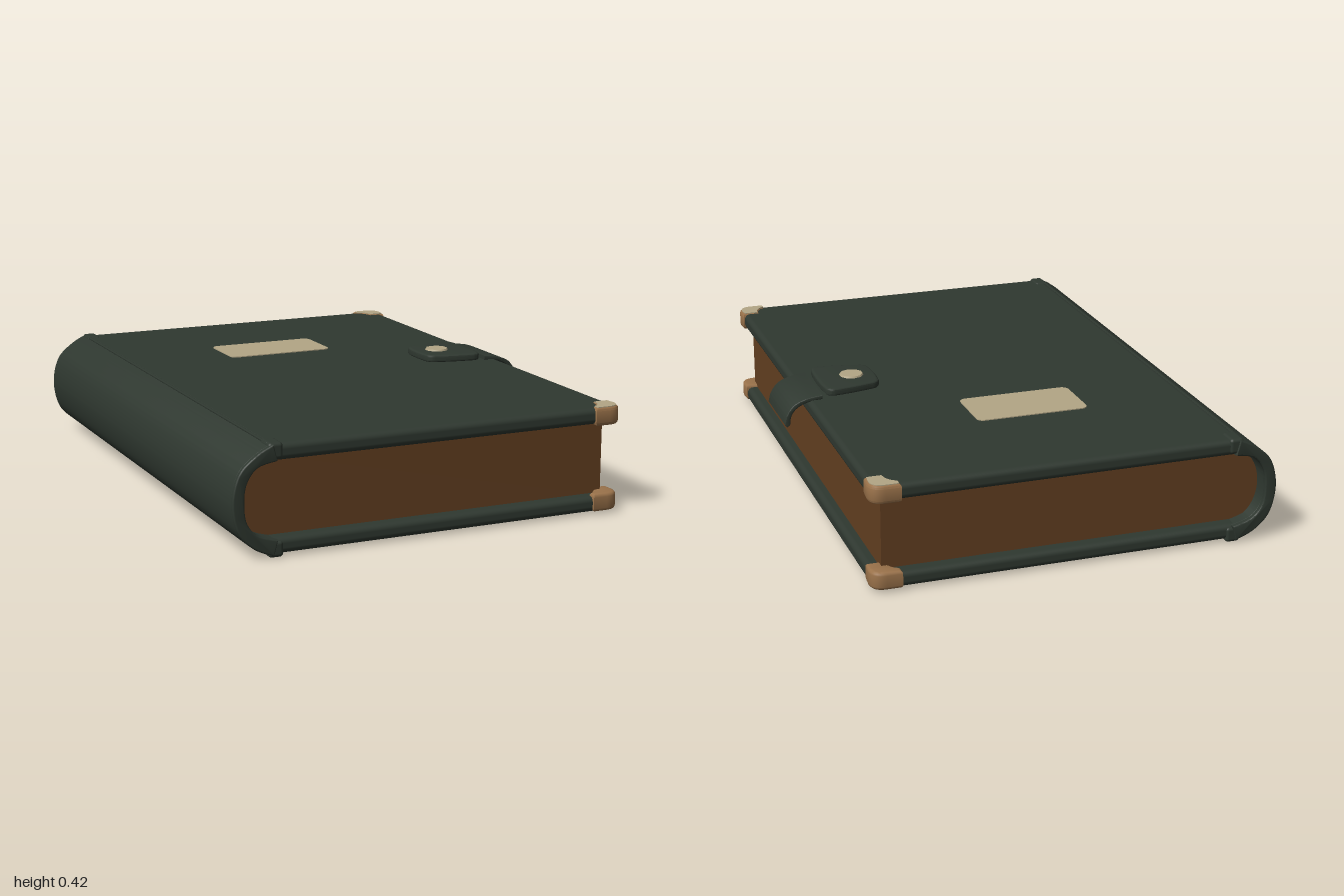
import * as THREE from 'three';
import { toCreasedNormals } from 'three/addons/utils/BufferGeometryUtils.js';
import { RoundedBoxGeometry } from 'three/addons/geometries/RoundedBoxGeometry.js';

const flat = (name, color) => Object.assign(new THREE.MeshStandardMaterial({ color }), { name });

export function createModel() {
  const cover = flat('dark green leather', 0x2f3830);
  const paper = flat('brown pages', 0x633f21);
  const brass = flat('brass', 0x9a724a);
  const cream = flat('cream', 0xb3a686);
  const book = new THREE.Group();
  book.name = 'book';

  const add = (name, geometry, material, x = 0, y = 0, z = 0) => {
    const mesh = new THREE.Mesh(geometry, material);
    mesh.name = name;
    mesh.position.set(x, y, z);
    book.add(mesh);
    return mesh;
  };

  // Extrusion whose total depth and outline include the bevel, centred on z
  const slab = (shape, depth, bevel) => {
    const g = new THREE.ExtrudeGeometry(shape, {
      depth: depth - 2 * bevel, bevelEnabled: bevel > 0, bevelThickness: bevel,
      bevelSize: bevel, bevelOffset: -bevel, bevelSegments: 3, curveSegments: 10,
    });
    g.translate(0, 0, -(depth - 2 * bevel) / 2);
    return toCreasedNormals(g, 0.7);
  };
  // The same, drawn in plan (shape y = -z) and lying flat
  const plan = (shape, height, bevel) => slab(shape, height, bevel).rotateX(-Math.PI / 2);

  const roundedRect = (w, h, r) => {
    const s = new THREE.Shape();
    s.absarc(w / 2 - r, h / 2 - r, r, 0, Math.PI / 2);
    s.absarc(-w / 2 + r, h / 2 - r, r, Math.PI / 2, Math.PI);
    s.absarc(-w / 2 + r, -h / 2 + r, r, Math.PI, Math.PI * 1.5);
    s.absarc(w / 2 - r, -h / 2 + r, r, Math.PI * 1.5, Math.PI * 2);
    return s;
  };
  const points = (list) => list.map(([x, y]) => new THREE.Vector2(x, y));

  // Front and back boards
  add('topCover', new RoundedBoxGeometry(1.32, 0.057, 1.98, 3, 0.02), cover, 0.02, 0.353, 0);
  add('bottomCover', new RoundedBoxGeometry(1.32, 0.055, 1.98, 3, 0.02), cover, 0.02, 0.038, 0);

  // Page block with a rounded back
  const block = new THREE.Shape();
  block.moveTo(0.64, 0.055);
  block.lineTo(0.64, 0.335);
  block.lineTo(-0.62, 0.335);
  block.bezierCurveTo(-0.69, 0.32, -0.725, 0.26, -0.725, 0.195);
  block.bezierCurveTo(-0.725, 0.13, -0.69, 0.07, -0.62, 0.055);
  add('pages', slab(block, 1.88, 0), paper);

  // Curved spine
  const spine = new THREE.Shape();
  spine.moveTo(-0.625, 0.384);
  spine.splineThru(points([[-0.685, 0.352], [-0.745, 0.295], [-0.769, 0.2], [-0.75, 0.1], [-0.695, 0.04], [-0.625, 0.008]]));
  spine.lineTo(-0.61, 0.062);
  spine.splineThru(points([[-0.68, 0.085], [-0.718, 0.13], [-0.727, 0.195], [-0.718, 0.26], [-0.68, 0.31], [-0.61, 0.327]]));
  add('spine', slab(spine, 1.98, 0.008), cover);

  // Hinge ridges and the folded leather at the ends of the spine
  for (const [side, y] of [['top', 0.381], ['bottom', 0.012]]) {
    add(side + 'HingeRidge', new RoundedBoxGeometry(0.012, 0.008, 1.94, 2, 0.003), cover, -0.632, y, 0);
    for (const s of [1, -1]) {
      add(side + 'HingeTab', new RoundedBoxGeometry(0.052, 0.055, 0.08, 3, 0.012), cover,
        -0.615, y === 0.012 ? 0.029 : 0.359, s * 0.955);
    }
  }
  for (const s of [1, -1]) {
    add('spineEndFold', slab(spine, 0.02, 0.006), cover, 0, 0, s * 0.99);
  }

  // Brass corners, wrapping the outer corners of both boards
  const cornerShape = (s, inset = 0) => {
    const p = new THREE.Shape();
    const o = 0.998 - inset, r = 0.688 - inset, l = 0.582 + inset, n = 0.902 + inset;
    p.moveTo(l, -s * o);
    p.lineTo(0.635, -s * o);
    p.quadraticCurveTo(r, -s * o, r, -s * 0.945);
    p.lineTo(r - 0.004, -s * n);
    p.lineTo(0.618 + inset, -s * n);
    p.quadraticCurveTo(0.615 + inset, -s * 0.955, l, -s * (0.965 + inset * 0.5));
    return p;
  };
  for (const s of [1, -1]) {
    add('topCorner', plan(cornerShape(s), 0.066, 0.012), brass, 0, 0.352, 0);
    add('topCornerFace', plan(cornerShape(s, 0.007), 0.004, 0), cream, 0, 0.3845, 0);
    add('bottomCorner', plan(cornerShape(s), 0.064, 0.012), brass, 0, 0.044, 0);
  }

  // Title label
  add('label', plan(roundedRect(0.415, 0.225, 0.025), 0.006, 0), cream, -0.042, 0.382, -0.428);

  // Clasp tab: tapered towards the left, with softened corners
  const tab = new THREE.Shape();
  tab.moveTo(0.43, 0.115);
  tab.quadraticCurveTo(0.5, 0.135, 0.575, 0.142);
  tab.quadraticCurveTo(0.605, 0.142, 0.607, 0.11);
  tab.quadraticCurveTo(0.618, 0.01, 0.607, -0.09);
  tab.quadraticCurveTo(0.605, -0.122, 0.575, -0.122);
  tab.quadraticCurveTo(0.5, -0.115, 0.43, -0.095);
  tab.quadraticCurveTo(0.397, -0.09, 0.394, -0.055);
  tab.quadraticCurveTo(0.386, 0.01, 0.394, 0.075);
  tab.quadraticCurveTo(0.397, 0.11, 0.43, 0.115);
  add('claspTab', plan(tab, 0.028, 0.01), cover, 0, 0.398, 0);
  add('claspButton', new THREE.CylinderGeometry(0.042, 0.046, 0.008, 10), cream, 0.48, 0.414, -0.01);

  // Strap curling down over the fore edge
  const strap = new THREE.Shape();
  strap.moveTo(0.625, 0.397);
  strap.splineThru(points([[0.68, 0.39], [0.73, 0.37], [0.758, 0.335], [0.768, 0.3]]));
  strap.lineTo(0.76, 0.288);
  strap.lineTo(0.748, 0.295);
  strap.splineThru(points([[0.742, 0.33], [0.72, 0.357], [0.68, 0.375], [0.625, 0.382]]));
  add('claspStrap', slab(strap, 0.26, 0.003), cover, 0, 0, -0.02);

  return book;
}
